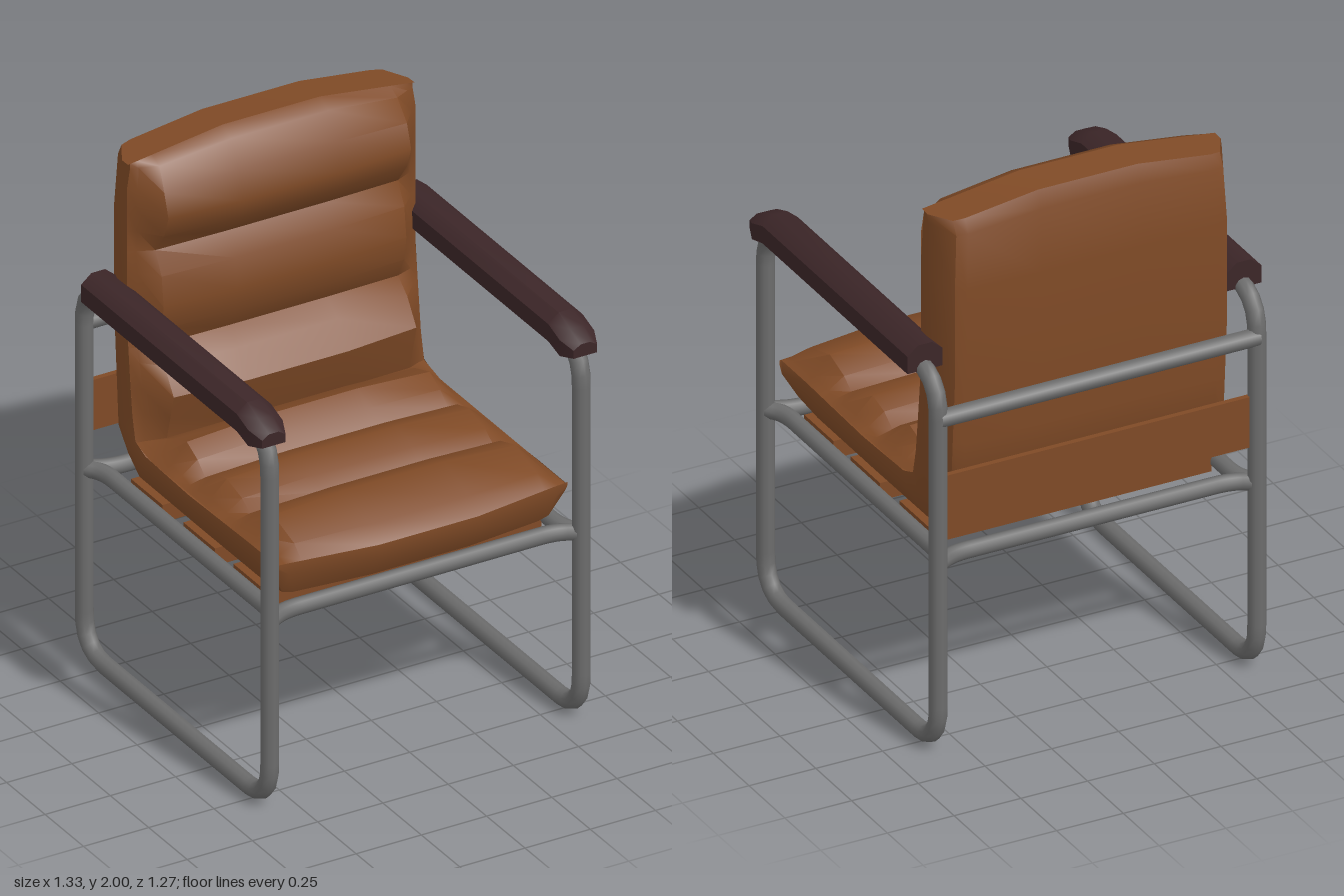
import * as THREE from 'three';
import { toCreasedNormals } from 'three/addons/utils/BufferGeometryUtils.js';

const V = (x, y, z) => new THREE.Vector3(x, y, z);

// Path through points with rounded corners of radius r
function roundedPath(pts, r, closed) {
  const path = new THREE.CurvePath();
  const n = pts.length;
  const toward = (a, b) => a.clone().add(b.clone().sub(a).setLength(Math.min(r, a.distanceTo(b) * 0.5)));
  let cur = closed ? pts[0].clone().lerp(pts[n - 1], 0.5) : pts[0];
  const start = cur;
  for (let i = closed ? 0 : 1; i < (closed ? n : n - 1); i++) {
    const p = pts[i];
    const a = toward(p, pts[(i + n - 1) % n]);
    const b = toward(p, pts[(i + 1) % n]);
    path.add(new THREE.LineCurve3(cur, a));
    path.add(new THREE.QuadraticBezierCurve3(a, p, b));
    cur = b;
  }
  path.add(new THREE.LineCurve3(cur, closed ? start : pts[n - 1]));
  return path;
}

// Surface through rows of points
function gridGeometry(rows) {
  const w = rows[0].length;
  const index = [];
  for (let i = 0; i < rows.length - 1; i++) {
    for (let j = 0; j < w - 1; j++) {
      const a = i * w + j, b = a + 1, c = a + w, d = c + 1;
      index.push(a, b, c, b, d, c);
    }
  }
  const geo = new THREE.BufferGeometry().setFromPoints(rows.flat());
  geo.setIndex(index);
  return toCreasedNormals(geo, 0.75);
}

// Bow the front and top edges of the upholstery outwards in the middle
function bow(p) {
  const k = 0.05 * THREE.MathUtils.clamp((0.55 - Math.abs(p.x)) / 0.36, 0, 1);
  if (p.z > 0.4) p.z += k * (p.z - 0.4) / 0.175;
  if (p.y > 1.8) p.y += k * (p.y - 1.8) / 0.15;
  return p;
}

export function createModel() {
  const group = new THREE.Group();
  const leather = new THREE.MeshStandardMaterial({ color: 0x7f4a26, side: THREE.DoubleSide });
  leather.name = 'brown leather';
  const metal = new THREE.MeshStandardMaterial({ color: 0x6c6c6c });
  metal.name = 'grey metal';
  const wood = new THREE.MeshStandardMaterial({ color: 0x3c2628 });
  wood.name = 'dark wood';

  const add = (name, geo, mat, x = 0, y = 0, z = 0) => {
    const mesh = new THREE.Mesh(geo, mat);
    mesh.name = name;
    mesh.position.set(x, y, z);
    group.add(mesh);
    return mesh;
  };
  const tube = (name, pts, r, radius, closed = false) =>
    add(name, new THREE.TubeGeometry(roundedPath(pts, r, closed), 110, radius, 10, closed), metal);

  for (const s of [-1, 1]) {
    const side = s > 0 ? 'left' : 'right';
    const x = 0.597 * s;

    // Side loop serving as legs, runner and arm support
    tube(side + 'SideFrame', [V(x, 0.037, 0.603), V(x, 0.037, -0.603), V(x, 1.42, -0.603), V(x, 1.42, 0.603)], 0.14, 0.032, true);

    // Seat support bars, bending outwards to the legs
    const e = 0.555 * s;
    tube(side + 'SeatRail', [V(x, 0.72, 0.6), V(e, 0.72, 0.54), V(e, 0.72, -0.54), V(x, 0.72, -0.6)], 0.06, 0.03);
    tube(s > 0 ? 'frontSeatBar' : 'backSeatBar',
      [V(-0.597, 0.72, 0.6 * s), V(-0.52, 0.72, 0.56 * s), V(0.52, 0.72, 0.56 * s), V(0.597, 0.72, 0.6 * s)], 0.06, 0.03);

    // Armrest: bevelled bar with a sloping nose; stations are z, bottom, shoulder, top, half width
    const stations = [
      [-0.512, 1.41, 1.475, 1.508, 0.066],
      [0.5, 1.41, 1.475, 1.508, 0.066],
      [0.575, 1.39, 1.45, 1.48, 0.066],
      [0.63, 1.4, 1.43, 1.447, 0.045],
    ];
    const ring = ([z, b, m, t, w]) => [[-w, b], [-w, m], [-w * 0.4, t], [w * 0.4, t], [w, m], [w, b], [-w, b]]
      .map(([dx, y]) => V(x + dx, y, z));
    const centre = (st) => Array.from({ length: 7 }, () => V(x, (st[1] + st[3]) / 2, st[0]));
    const rows = [centre(stations[0]), ...stations.map(ring), centre(stations[3])].map((r) => r.reverse());
    const geo = gridGeometry(rows);
    const armMat = wood;
    armMat.side = THREE.DoubleSide;
    add(side + 'Armrest', geo, armMat);
  }

  // Upper back crossbar
  tube('backCrossbar', [V(-0.597, 1.27, -0.608), V(0, 1.27, -0.608), V(0.597, 1.27, -0.608)], 0.1, 0.032);

  // Support straps under the seat and behind the back
  for (const z of [0.355, 0.03, -0.31]) {
    add('seatStrap', new THREE.BoxGeometry(1.06, 0.066, 0.205), leather, 0, 0.717, z);
  }
  add('backStrap', new THREE.BoxGeometry(1.18, 0.19, 0.02), leather, 0, 0.955, -0.6);

  // Outer shell: stations of seam z, y and outside z, y along the L profile
  const shell = [
    [0.575, 0.905, 0.575, 0.905],
    [0.575, 0.905, 0.575, 0.86],
    [0.57, 0.905, 0.53, 0.765],
    [0.4, 0.905, 0.4, 0.75],
    [0, 0.895, 0, 0.75],
    [-0.28, 0.905, -0.4, 0.752],
    [-0.345, 0.93, -0.475, 0.81],
    [-0.365, 1.02, -0.54, 0.885],
    [-0.38, 1.15, -0.555, 1.12],
    [-0.4, 1.35, -0.57, 1.35],
    [-0.4, 1.75, -0.57, 1.7],
    [-0.4, 1.93, -0.56, 1.9],
    [-0.4, 1.95, -0.535, 1.945],
    [-0.4, 1.95, -0.4, 1.95],
  ];
  const half = [[0.553, 0], [0.56, 0.3], [0.51, 0.93], [0.47, 1], [0.19, 1]];
  const section = [...half, ...half.slice().reverse().map(([x, f]) => [-x, f])];
  add('cushionShell', gridGeometry(shell.map(([sz, sy, oz, oy]) => section.map(([x, f]) => {
    const taper = sy > 1.9 ? 0.98 : 1;
    return bow(V(x * taper, sy + (oy - sy) * f, sz + (oz - sz) * f));
  }))), leather);

  // Padded inner face: crest profile z, y over the seat and up the back
  const pads = [
    [0.575, 0.905], [0.53, 0.955], [0.4, 1.003], [0.3, 0.965], [0.25, 0.925],
    [0.2, 0.963], [0.1, 0.993], [0.02, 0.968], [-0.04, 0.92],
    [-0.09, 0.97], [-0.16, 1.01], [-0.24, 0.98],
    [-0.28, 0.95], [-0.25, 1.03], [-0.222, 1.12], [-0.29, 1.21], [-0.36, 1.26],
    [-0.31, 1.34], [-0.295, 1.43], [-0.31, 1.54], [-0.36, 1.62],
    [-0.29, 1.7], [-0.258, 1.78], [-0.29, 1.86], [-0.345, 1.93], [-0.4, 1.95],
  ];
  const seamAt = ([z, y], i) => {
    if (i < 12) return [Math.max(z, -0.3), 0.903];
    if (i === 12) return [-0.345, 0.925];
    return [Math.max(-0.4, -0.365 - (y - 1.02) * 0.11), y];
  };
  const padHalf = [[0.553, 0], [0.525, 0.2], [0.465, 0.85], [0.19, 1]];
  const padSection = [...padHalf, ...padHalf.slice().reverse().map(([x, f]) => [-x, f])];
  add('paddedCushion', gridGeometry(pads.map((p, i) => {
    const [bz, by] = seamAt(p, i);
    const taper = p[1] > 1.9 ? 0.98 : 1;
    return padSection.map(([x, f]) => bow(V(x * taper, by + (p[1] - by) * f, bz + (p[0] - bz) * f))).reverse();
  })), leather);

  return group;
}
